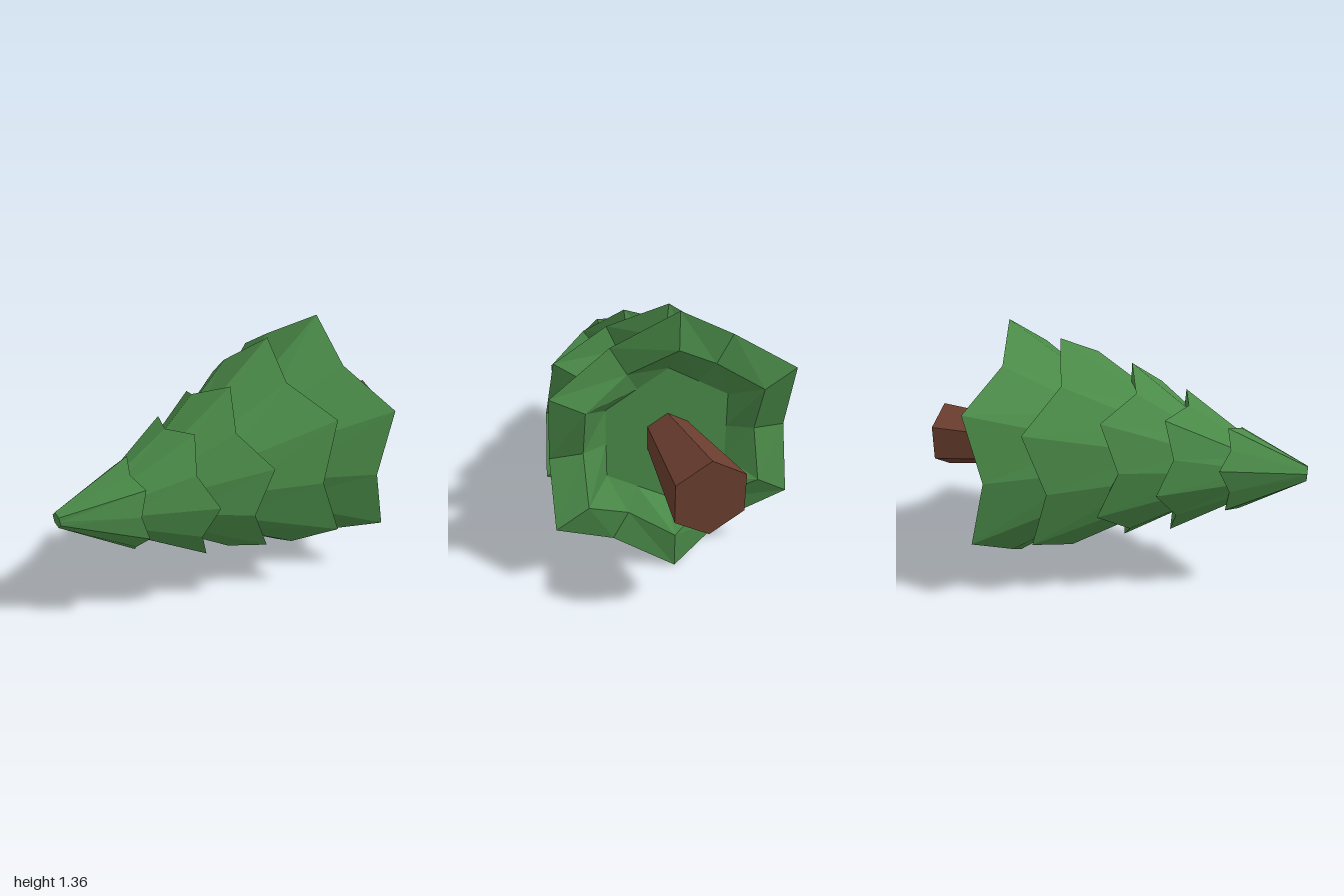
import * as THREE from 'three';

const AXIS_Y = 0.683;

// Closed solid from a series of equal-length rings, ordered front (+z) to back.
function loft(rings) {
  const pos = [];
  const tri = (a, b, c) => pos.push(...a, ...b, ...c);
  const centre = (ring) => [0, 1, 2].map((k) => ring.reduce((s, p) => s + p[k], 0) / ring.length);
  const first = rings[0], last = rings[rings.length - 1], n = first.length;
  const c0 = centre(first), c1 = centre(last);
  for (let i = 0; i < n; i++) {
    const j = (i + 1) % n;
    tri(c0, first[i], first[j]);
    for (let r = 0; r + 1 < rings.length; r++) {
      const A = rings[r], B = rings[r + 1];
      tri(A[i], B[i], B[j]);
      tri(A[i], B[j], A[j]);
    }
    tri(c1, last[j], last[i]);
  }
  const geo = new THREE.BufferGeometry();
  geo.setAttribute('position', new THREE.Float32BufferAttribute(pos, 3));
  geo.computeVertexNormals();
  return geo;
}

// Ring of six corners and six edge midpoints; midpoints can be pulled in and forward.
function starRing({ x, y, z, r, turn, mid = 0.866, lift = 0, tiltX = 0, tiltY = 0 }) {
  const ring = [];
  for (let i = 0; i < 12; i++) {
    const a = THREE.MathUtils.degToRad(turn + i * 30);
    const isMid = i % 2 === 1;
    const rad = isMid ? r * mid : r;
    const dx = Math.cos(a) * rad, dy = Math.sin(a) * rad;
    ring.push([x + dx, y + dy, z + (isMid ? lift : 0) + dx * tiltX + dy * tiltY]);
  }
  return ring;
}

// Foliage tier: sloped outside, jagged rim, hollow underside.
function tierGeometry(t) {
  const rim = { x: t.x, y: t.y, z: t.z, r: t.r, turn: t.turn, lift: t.lift, tiltX: t.tiltX, tiltY: t.tiltY };
  return loft([
    starRing({ x: t.fx, y: t.fy, z: t.fz, r: t.fr, turn: t.turn, mid: t.fmid }),
    starRing(rim),
    starRing({ ...rim, r: t.r * 0.73 }),
    starRing({ ...rim, r: t.r * 0.52, z: t.z + t.r * 0.21, lift: 0 }),
  ]);
}

export function createModel() {
  const group = new THREE.Group();
  const green = new THREE.MeshStandardMaterial({ color: 0x4a8a48 });
  green.name = 'needleGreen';
  green.flatShading = true;
  const brown = new THREE.MeshStandardMaterial({ color: 0x6b3e2f });
  brown.name = 'barkBrown';
  brown.flatShading = true;

  // Rim centre, depth, radius and turn, then the front end of each tier (f...)
  const tiers = [
    { x: 0, y: AXIS_Y, z: -0.575, r: 0.68, turn: 90, lift: 0.085, tiltX: 0, tiltY: 0,
      fx: 0, fy: AXIS_Y, fz: -0.05, fr: 0.31, fmid: 1 },
    { x: 0.013, y: 0.685, z: -0.272, r: 0.61, turn: 96, lift: 0.1, tiltX: 0.045, tiltY: 0,
      fx: 0.02, fy: 0.683, fz: 0.25, fr: 0.28, fmid: 1 },
    { x: 0.025, y: 0.685, z: 0.065, r: 0.475, turn: 84, lift: 0.1, tiltX: 0.09, tiltY: 0,
      fx: 0.01, fy: 0.675, fz: 0.5, fr: 0.19, fmid: 1 },
    { x: 0.02, y: 0.672, z: 0.34, r: 0.37, turn: 69, lift: 0.065, tiltX: 0.09, tiltY: -0.02,
      fx: -0.01, fy: 0.675, fz: 0.75, fr: 0.12, fmid: 1 },
    { x: 0, y: 0.667, z: 0.632, r: 0.237, turn: 104, lift: 0.035, tiltX: 0.15, tiltY: -0.1,
      fx: -0.052, fy: 0.7, fz: 1, fr: 0.04, fmid: 0.866 },
  ];
  tiers.forEach((t, i) => {
    const mesh = new THREE.Mesh(tierGeometry(t), green);
    mesh.name = `foliageTier${i + 1}`;
    group.add(mesh);
  });

  // Six-sided trunk, widening towards its foot at the back
  const trunkGeo = new THREE.CylinderGeometry(0.108, 0.182, 0.65, 6);
  trunkGeo.rotateX(Math.PI / 2);
  const trunk = new THREE.Mesh(trunkGeo, brown);
  trunk.name = 'trunk';
  trunk.position.set(0, AXIS_Y, -0.675);
  group.add(trunk);

  return group;
}
